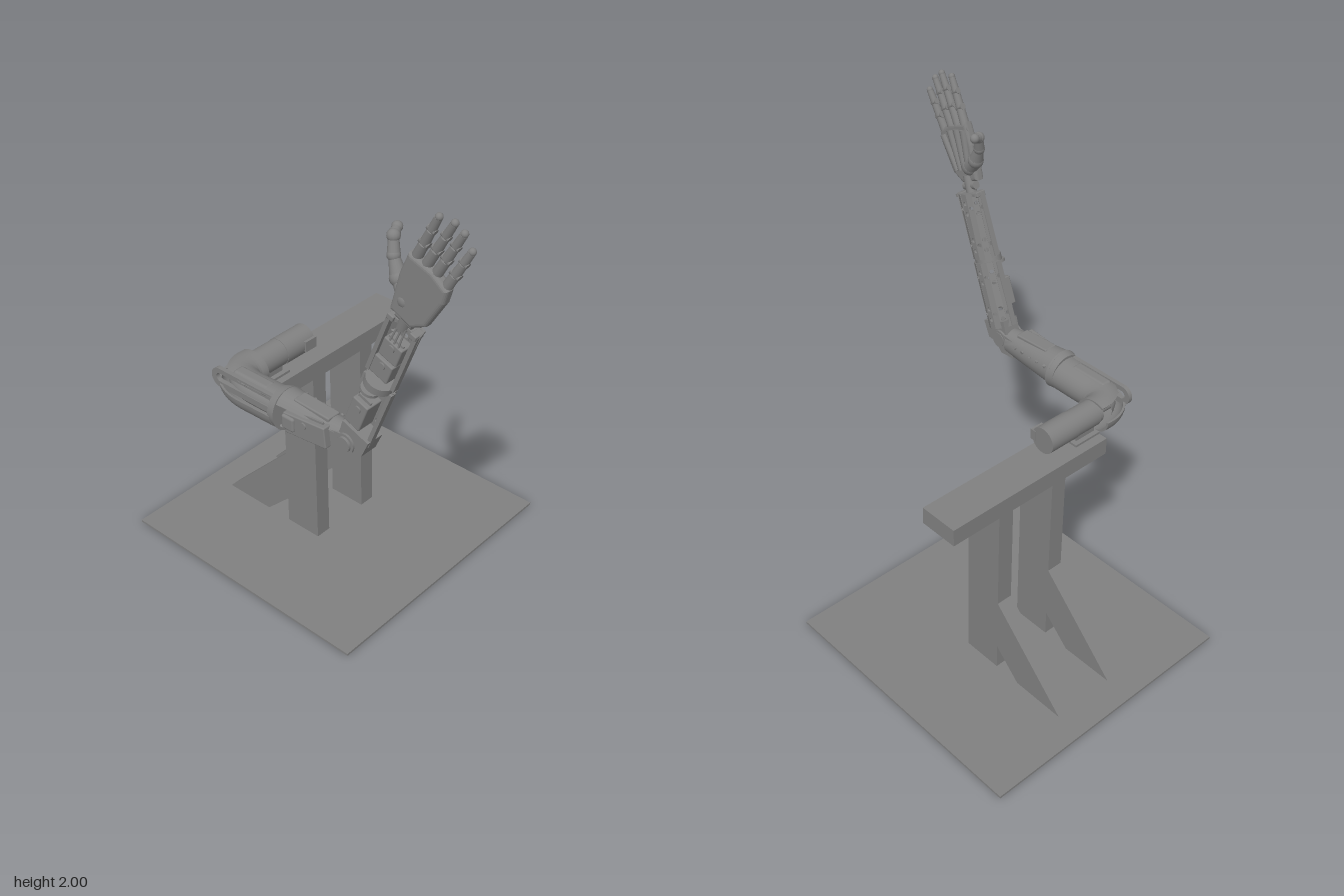
import * as THREE from 'three';
import { toCreasedNormals } from 'three/addons/utils/BufferGeometryUtils.js';
import { RoundedBoxGeometry } from 'three/addons/geometries/RoundedBoxGeometry.js';

const V = (x, y, z) => new THREE.Vector3(x, y, z);
const material = new THREE.MeshStandardMaterial({ color: 0x808080 });

function add(parent, name, geometry, x = 0, y = 0, z = 0) {
  const mesh = new THREE.Mesh(geometry, material);
  mesh.name = name;
  mesh.position.set(x, y, z);
  parent.add(mesh);
  return mesh;
}

function group(parent, name) {
  const g = new THREE.Group();
  g.name = name;
  parent.add(g);
  return g;
}

// Box given by its minimum and maximum corners
function box(parent, name, x0, x1, y0, y1, z0, z1, r = 0) {
  const size = [x1 - x0, y1 - y0, z1 - z0];
  const geo = r ? new RoundedBoxGeometry(...size, 3, r) : new THREE.BoxGeometry(...size);
  return add(parent, name, geo, (x0 + x1) / 2, (y0 + y1) / 2, (z0 + z1) / 2);
}

// Tapered rod between two points
function rod(parent, name, a, b, r0, r1 = r0, sides = 16) {
  const d = b.clone().sub(a);
  const mesh = add(parent, name, new THREE.CylinderGeometry(r1, r0, d.length(), sides));
  mesh.position.copy(a).addScaledVector(d, 0.5);
  mesh.quaternion.setFromUnitVectors(V(0, 1, 0), d.normalize());
  return mesh;
}

function extrude(points, depth, bevel = 0) {
  const shape = new THREE.Shape(points.map(([x, y]) => new THREE.Vector2(x, y)));
  return new THREE.ExtrudeGeometry(shape, {
    depth, bevelEnabled: bevel > 0, bevelSize: bevel, bevelThickness: bevel, bevelSegments: 4 });
}

// Outline with round ends, used for the window frame
function stadium(path, x0, x1, y0, y1) {
  const r = (y1 - y0) / 2, y = (y0 + y1) / 2;
  path.absarc(x1 - r, y, r, -Math.PI / 2, Math.PI / 2, false);
  path.absarc(x0 + r, y, r, Math.PI / 2, Math.PI * 1.5, false);
  return path;
}

// Thick curved wall swept along a level path; the wall covers angles a0 to a1
function sweptWall(path, steps, radii, a0, a1, wall) {
  const m = 28, n = 2 * (m + 1), pos = [], idx = [];
  for (let i = 0; i <= steps; i++) {
    const t = i / steps, p = path.getPoint(t), d = path.getTangent(t), [rh, rv] = radii(t);
    for (let k = 0; k < n; k++) {
      const outer = k <= m, a = a0 + (a1 - a0) * (outer ? k : n - 1 - k) / m;
      const h = Math.cos(a) * (rh - (outer ? 0 : wall)), v = Math.sin(a) * (rv - (outer ? 0 : wall));
      pos.push(p.x - d.z * h, p.y + v, p.z + d.x * h);
    }
  }
  const quad = (a, b, c, d) => idx.push(a, b, c, a, c, d);
  for (let i = 0; i < steps; i++) for (let k = 0; k < n; k++) {
    const k1 = (k + 1) % n;
    quad(i * n + k, (i + 1) * n + k, (i + 1) * n + k1, i * n + k1);
  }
  const e = steps * n;
  for (let k = 0; k < m; k++) {
    quad(k, k + 1, n - 2 - k, n - 1 - k);
    quad(e + n - 1 - k, e + n - 2 - k, e + k + 1, e + k);
  }
  const geo = new THREE.BufferGeometry();
  geo.setAttribute('position', new THREE.Float32BufferAttribute(pos, 3));
  geo.setIndex(idx);
  return toCreasedNormals(geo, 0.7);
}

// Half-round casing of drilled panels, open towards +z
function drilledCasing(parent, name, y0, y1, w0, w1, d0, d1) {
  const casing = group(parent, name), sides = 7, wall = 0.008;
  const at = (i, w, d, y) => V(w * Math.cos(Math.PI * i / sides), y, -d * Math.sin(Math.PI * i / sides));
  for (let i = 0; i < sides; i++) {
    const p = at(i, w0, d0, y0), p1 = at(i + 1, w0, d0, y0), q = at(i, w1, d1, y1), q1 = at(i + 1, w1, d1, y1);
    const u = p1.clone().sub(p).normalize(), e = q.clone().sub(p);
    const v = e.clone().addScaledVector(u, -e.dot(u)).normalize(), nrm = u.clone().cross(v);
    const flat = c => { const s = c.clone().sub(p); return new THREE.Vector2(s.dot(u), s.dot(v)); };
    const shape = new THREE.Shape([p, p1, q1, q].map(flat));
    const mid0 = flat(p.clone().add(p1).multiplyScalar(0.5)), mid1 = flat(q.clone().add(q1).multiplyScalar(0.5));
    for (const t of i % 2 ? [0.14, 0.3, 0.7, 0.86] : [0.22, 0.78]) {
      const c = mid0.clone().lerp(mid1, t);
      shape.holes.push(new THREE.Path().absarc(c.x, c.y, 0.0095, 0, Math.PI * 2, true));
    }
    const geo = new THREE.ExtrudeGeometry(shape, { depth: wall, bevelEnabled: false, curveSegments: 6 });
    geo.applyMatrix4(new THREE.Matrix4().makeBasis(u, v, nrm).setPosition(p.addScaledVector(nrm, -wall)));
    add(casing, 'casingPanel', geo);
  }
}

// Small servo: body, mounting tabs and output horn on its front
function servo(parent, x, y, z, w, h, d) {
  const s = group(parent, 'servo');
  s.position.set(x, y, z);
  add(s, 'servoBody', new RoundedBoxGeometry(w, h, d, 2, 0.005));
  add(s, 'servoTabs', new THREE.BoxGeometry(w * 0.8, h * 1.2, 0.008), 0, 0, d * 0.2);
  add(s, 'servoHorn', new THREE.CylinderGeometry(0.014, 0.014, 0.012, 16), 0, h * 0.22, d / 2).rotation.x = Math.PI / 2;
  return s;
}

function buildStand(root) {
  const stand = group(root, 'stand');
  box(stand, 'basePlate', -0.835, 0.357, 0, 0.01, -0.605, 0.585);
  box(stand, 'topBeam', -0.36, -0.19, 0.81, 0.885, -0.405, 0.39);
  for (const z of [0.096, -0.18]) {
    box(stand, 'post', -0.36, -0.19, 0.01, 0.81, z, z + 0.07);
    add(stand, 'brace', extrude([[-0.715, 0.01], [-0.48, 0.01], [-0.36, 0.125], [-0.36, 0.365]], 0.07), 0, 0, z);
  }
}

function buildShoulder(root) {
  const s = group(root, 'shoulder');
  box(s, 'motorMount', -0.32, -0.22, 0.885, 0.895, 0.26, 0.39);
  box(s, 'motorFoot', -0.3, -0.24, 0.89, 0.93, 0.28, 0.38);
  rod(s, 'motorBody', V(-0.27, 0.961, 0.125), V(-0.27, 0.961, 0.27), 0.056, 0.056, 32);
  rod(s, 'motorGearbox', V(-0.27, 0.961, 0.268), V(-0.27, 0.961, 0.39), 0.054, 0.054, 32);
  box(s, 'motorPlug', -0.235, -0.208, 0.94, 0.985, 0.122, 0.18);
  rod(s, 'motorShaft', V(-0.27, 0.955, 0.38), V(-0.27, 0.955, 0.5), 0.02);
  rod(s, 'shaftFlange', V(-0.27, 0.955, 0.4), V(-0.27, 0.955, 0.415), 0.045);
}

function buildUpperArm(root) {
  const arm = group(root, 'upperArm');
  // Bent shoulder casing with a long window in its outer side
  const bend = new THREE.CatmullRomCurve3([V(-0.28, 0.953, 0.39), V(-0.279, 0.953, 0.44), V(-0.255, 0.953, 0.485),
    V(-0.2, 0.953, 0.51), V(-0.1, 0.953, 0.512), V(0, 0.955, 0.512)]);
  add(arm, 'shoulderCasing', sweptWall(bend, 30, t => [0.08, 0.068 + 0.004 * t], 0.95, Math.PI * 2 + 0.05, 0.009));
  const core = new THREE.CatmullRomCurve3([V(-0.275, 0.953, 0.44), V(-0.25, 0.953, 0.485), V(-0.2, 0.953, 0.507), V(0.02, 0.953, 0.51)]);
  add(arm, 'armCore', new THREE.TubeGeometry(core, 20, 0.045, 16));
  const frame = stadium(new THREE.Shape(), -0.33, 0.02, 0.94, 1.021);
  frame.holes.push(stadium(new THREE.Path(), -0.305, -0.02, 0.965, 1.0));
  add(arm, 'windowFrame', new THREE.ExtrudeGeometry(frame, { depth: 0.018, bevelEnabled: false }), 0, 0, 0.54);
  box(arm, 'topHousing', -0.24, -0.06, 0.98, 1.026, 0.485, 0.54, 0.015);
  rod(arm, 'armCollar', V(-0.012, 0.96, 0.51), V(0.022, 0.962, 0.51), 0.078, 0.084, 32);
  // Rotating lower half, tapering to the elbow
  const line = new THREE.LineCurve3(V(0.01, 0.966, 0.508), V(0.29, 0.966, 0.502));
  add(arm, 'lowerArmCasing', sweptWall(line, 14, t => [0.078 - 0.026 * t, 0.078 - 0.022 * t],
    0.6, Math.PI * 2 - 0.75, 0.009));
  servo(arm, 0.155, 0.962, 0.535, 0.2, 0.085, 0.075).rotation.z = 0.1;
  box(arm, 'gearCover', 0.05, 0.11, 0.93, 0.99, 0.55, 0.582, 0.01);
  box(arm, 'cableGuide', 0.07, 0.24, 1.01, 1.036, 0.475, 0.535, 0.006).rotation.z = -0.05;
  for (let i = 0; i < 5; i++)
    rod(arm, 'screw', V(0.04 + i * 0.045, 0.99, 0.44), V(0.04 + i * 0.045, 1.0 - i * 0.003, 0.437 + i * 0.003), 0.007);
}

function buildForearm(root) {
  // Elbow hinge
  const elbow = group(root, 'elbow');
  rod(elbow, 'elbowPin', V(0.325, 0.975, 0.452), V(0.325, 0.975, 0.558), 0.03, 0.03, 20);
  for (const z of [0.455, 0.53]) {
    rod(elbow, 'elbowDisc', V(0.325, 0.975, z), V(0.325, 0.975, z + 0.018), 0.04, 0.04, 24);
    add(elbow, 'elbowFork', extrude([[0.24, 0.92], [0.31, 0.915], [0.35, 0.96], [0.33, 1.01], [0.24, 1.0]], 0.014), 0, 0, z + 0.002);
  }
  const f = group(root, 'forearm');
  f.position.set(0.345, 0.985, 0.515);
  f.rotation.z = -0.373;
  add(f, 'elbowBracket', extrude([[-0.06, 0.06], [-0.055, 0], [0.02, -0.035], [0.06, -0.015], [0.064, 0.06]], 0.075), 0, 0, -0.05);
  drilledCasing(f, 'lowerCasing', 0.03, 0.315, 0.064, 0.064, 0.064, 0.058);
  drilledCasing(f, 'upperCasing', 0.33, 0.605, 0.062, 0.068, 0.055, 0.045);
  // Turning ring for the wrist
  rod(f, 'turningRing', V(0, 0.305, 0.002), V(0, 0.335, 0.002), 0.055, 0.055, 28);
  rod(f, 'turningGear', V(-0.005, 0.29, 0.035), V(-0.005, 0.302, 0.035), 0.036, 0.036, 20);
  servo(f, -0.01, 0.168, 0.015, 0.07, 0.12, 0.075);
  servo(f, -0.005, 0.39, -0.005, 0.08, 0.078, 0.06);
  servo(f, 0, 0.478, -0.006, 0.08, 0.078, 0.056);
  for (const s of [-1, 1]) {
    box(f, 'edgeRail', s * 0.057 - 0.008, s * 0.057 + 0.008, 0.03, 0.31, -0.012, 0.012);
    box(f, 'edgeRail', s * 0.058 - 0.008, s * 0.058 + 0.008, 0.335, 0.6, -0.01, 0.014);
    box(f, 'endClamp', s * 0.05 - 0.014, s * 0.05 + 0.014, 0.585, 0.607, -0.025, 0.02, 0.004);
  }
  box(f, 'endWall', -0.06, 0.06, 0.592, 0.604, -0.034, 0.01);
  for (const x of [-0.02, 0, 0.02])
    rod(f, 'tendon', V(x, 0.5, 0.018), V(x * 0.7, 0.6, 0.01), 0.0035, 0.0035, 6);
}

function buildHand(root) {
  const hand = group(root, 'hand');
  rod(hand, 'wristPost', V(0.555, 1.53, 0.515), V(0.59, 1.61, 0.522), 0.022);
  rod(hand, 'wristPin', V(0.54, 1.585, 0.52), V(0.605, 1.558, 0.52), 0.017);
  add(hand, 'palm', extrude([[0.545, 1.615], [0.615, 1.582], [0.665, 1.605], [0.728, 1.705], [0.74, 1.745],
    [0.69, 1.785], [0.61, 1.815], [0.58, 1.745]], 0.016, 0.014), 0, 0, 0.526);
  // Fingers from inner to outer edge: base and tip
  const fingers = [[0.612, 1.80, 0.71, 1.985, 0.543], [0.652, 1.79, 0.766, 1.982, 0.54],
    [0.69, 1.772, 0.797, 1.955, 0.533], [0.728, 1.74, 0.82, 1.9, 0.523]];
  fingers.forEach(([x0, y0, x1, y1, z], k) => {
    const finger = group(hand, 'finger');
    const base = V(x0, y0, 0.531), tip = V(x1, y1, z), at = t => base.clone().lerp(tip, t);
    rod(finger, 'metacarpal', V(0.575 + k * 0.022, 1.645 - k * 0.01, 0.511), V(x0, y0, 0.516), 0.013, 0.016, 10);
    const stops = [0, 0.42, 0.72, 1];
    for (let i = 0; i < 3; i++) {
      const r = 0.0195 - i * 0.0022, a = at(stops[i]), b = at(stops[i + 1] - (i < 2 ? 0.03 : 0.02));
      rod(finger, 'phalanx', a, b, r, r - 0.002, 12);
      const across = V(y1 - y0, x0 - x1, 0).normalize().multiplyScalar(r + 0.001);
      rod(finger, 'knuckle', a.clone().sub(across), a.clone().add(across), r * 0.75, r * 0.75, 12);
    }
    add(finger, 'fingertip', new THREE.SphereGeometry(0.0132, 12, 8), x1, y1, z);
  });
  // Jointed thumb with its tip bent to the back
  const thumb = group(hand, 'thumb');
  const joints = [V(0.58, 1.65, 0.525), V(0.532, 1.7, 0.51), V(0.502, 1.765, 0.5), V(0.488, 1.822, 0.485), V(0.473, 1.834, 0.45)];
  const radii = [0.036, 0.032, 0.023, 0.023, 0.019];
  for (let i = 0; i < 5; i++) {
    add(thumb, 'thumbJoint', new THREE.SphereGeometry(radii[i], 14, 10)).position.copy(joints[i]);
    if (i < 4) rod(thumb, 'thumbSegment', joints[i], joints[i + 1], radii[i] * 0.95, radii[i + 1] * 0.75);
  }
}

export function createModel() {
  const root = new THREE.Group();
  root.name = 'roboticArmOnStand';
  buildStand(root);
  buildShoulder(root);
  buildUpperArm(root);
  buildForearm(root);
  buildHand(root);
  return root;
}
